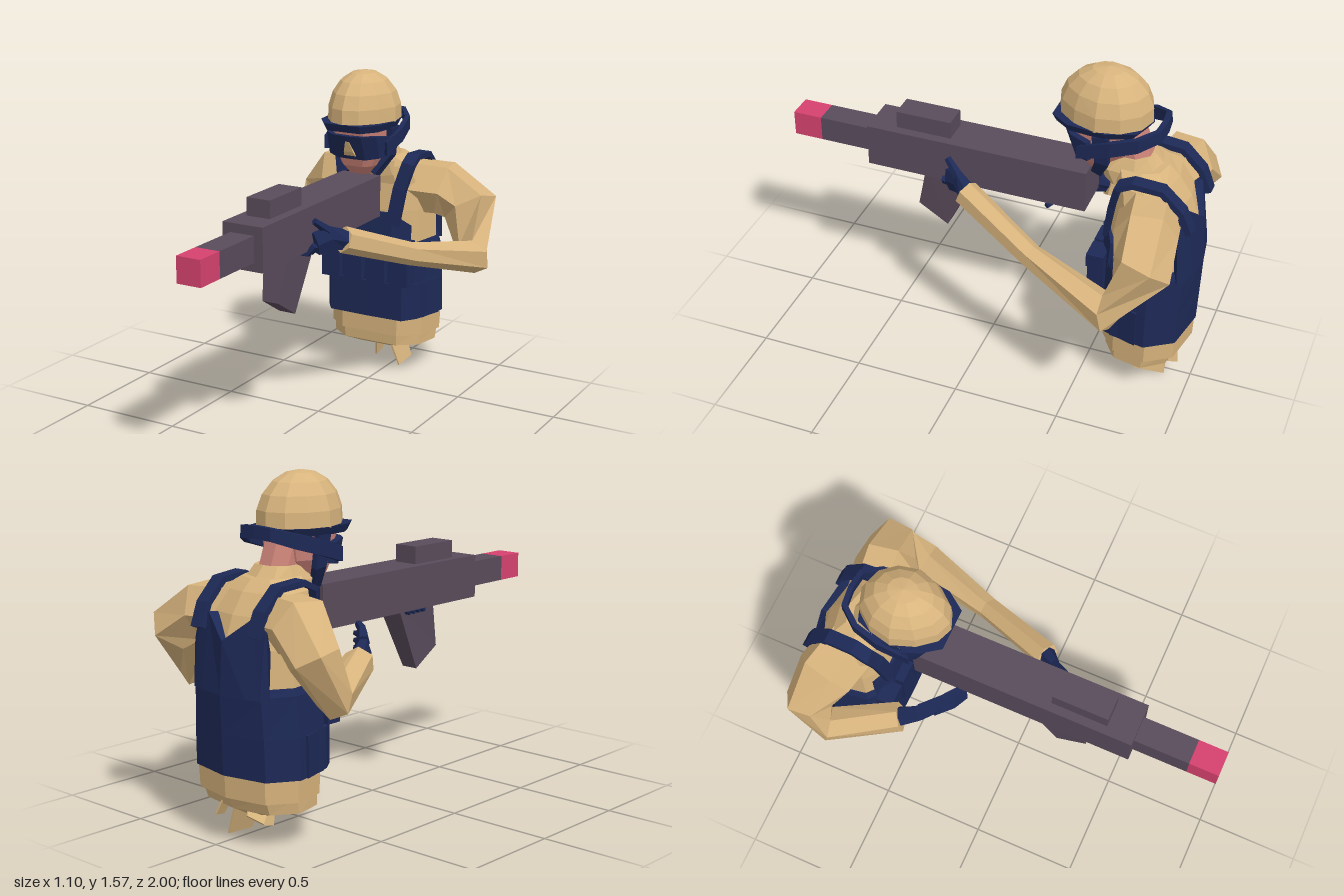
import * as THREE from 'three';

const CX = -0.045; // body centre line
const mat = (name, color) => {
  const m = new THREE.MeshStandardMaterial({ color, flatShading: true });
  m.name = name;
  return m;
};
const V = (a) => new THREE.Vector3(a[0], a[1], a[2]);

// Skin a list of equal rings, cap the ends, and make sure faces point outwards
function loft(rings) {
  const tris = [];
  const n = rings[0].length;
  for (let i = 0; i < rings.length - 1; i++) {
    for (let j = 0; j < n; j++) {
      const k = (j + 1) % n, a = rings[i], b = rings[i + 1];
      tris.push([a[j], a[k], b[k]], [a[j], b[k], b[j]]);
    }
  }
  const first = rings[0], last = rings[rings.length - 1];
  const mid = (r) => r.reduce((s, p) => s.add(p), new THREE.Vector3()).divideScalar(n);
  const c0 = mid(first), c1 = mid(last);
  for (let j = 0; j < n; j++) {
    const k = (j + 1) % n;
    tris.push([c0, first[k], first[j]], [c1, last[j], last[k]]);
  }
  let volume = 0;
  for (const [a, b, c] of tris) {
    const u = a.clone().sub(c0), v = b.clone().sub(c0), w = c.clone().sub(c0);
    volume += u.dot(v.cross(w));
  }
  const flat = tris.flatMap(([a, b, c]) => (volume > 0 ? [a, b, c] : [a, c, b]));
  const g = new THREE.BufferGeometry().setFromPoints(flat);
  g.computeVertexNormals();
  return g;
}

// Stack of nine-sided body sections: [y, half width, front z, back z]
function stack(rows) {
  return loft(rows.map(([y, w, f, b]) => {
    const d = f - b;
    const half = [[0.55, f], [0.9, f - 0.2 * d], [1, b + 0.4 * d], [0.72, b + 0.1 * d]];
    const right = half.map(([x, z]) => new THREE.Vector3(CX + x * w, y, z));
    const left = half.map(([x, z]) => new THREE.Vector3(CX - x * w, y, z)).reverse();
    return [...right, new THREE.Vector3(CX, y, b), ...left];
  }));
}

// Bent limb through points [x, y, z, radius across, radius in the bend plane]
function limb(rows, ref, sides = 6) {
  const p = rows.map(V);
  return loft(rows.map((r, i) => {
    const t = p[Math.min(i + 1, p.length - 1)].clone().sub(p[Math.max(i - 1, 0)]).normalize();
    const up = new THREE.Vector3().crossVectors(t, V(ref)).normalize();
    const side = new THREE.Vector3().crossVectors(up, t).normalize();
    return Array.from({ length: sides }, (_, j) => {
      const a = ((j + 0.5) / sides) * Math.PI * 2;
      return p[i].clone()
        .addScaledVector(side, Math.cos(a) * r[3])
        .addScaledVector(up, Math.sin(a) * (r[4] ?? r[3]));
    });
  }));
}

// Thin upright wall from columns [x, low y, low z, high y, high z], thickened towards z = zc
function wall(cols, zc, thick = 0.03) {
  return loft(cols.map(([x, y0, z0, y1, z1]) => {
    const d = new THREE.Vector3(-x, 0, zc - z0).setLength(thick);
    const a = new THREE.Vector3(CX + x, y0, z0), b = new THREE.Vector3(CX + x, y1, z1);
    return [a, b, b.clone().add(d), a.clone().add(d)];
  }));
}
// Mirror half a list of columns about the centre line (first column on the centre)
const mirrored = (half) => [
  ...half.slice(1).reverse().map(([x, ...r]) => [-x, ...r]), ...half];

export function createModel() {
  const root = new THREE.Group();
  const tan = mat('tan cloth', 0xd8b47d);
  const blue = mat('navy gear', 0x1d2956);
  const skin = mat('skin', 0xca8277);
  const metal = mat('gun grey', 0x594b5b);
  const pink = mat('muzzle pink', 0xd6426f);
  const add = (name, geometry, material) => {
    const m = new THREE.Mesh(geometry, material);
    m.name = name;
    root.add(m);
    return m;
  };
  const box = (name, material, x0, x1, y0, y1, z0, z1) =>
    add(name, new THREE.BoxGeometry(x1 - x0, y1 - y0, z1 - z0), material)
      .position.set((x0 + x1) / 2, (y0 + y1) / 2, (z0 + z1) / 2);

  // Gun
  box('gunBody', metal, -0.13, 0.075, 0.873, 1.077, -0.465, 0.598);
  box('gunBarrel', metal, -0.09, 0.03, 0.915, 1.035, 0.598, 0.86);
  box('gunMuzzle', pink, -0.09, 0.03, 0.915, 1.035, 0.86, 1);
  box('gunSight', metal, -0.09, 0.03, 1.077, 1.16, 0.2, 0.467);
  const gripRing = (w, y0, z0, y1, z1) => [[-w, y0, z0], [w, y0, z0], [w, y1, z1], [-w, y1, z1]]
    .map(([x, y, z]) => new THREE.Vector3(x - 0.03, y, z));
  add('gunGrip', loft([gripRing(0.062, 0.885, 0.325, 0.885, 0.08),
    gripRing(0.042, 0.66, 0.375, 0.57, 0.23)]), metal);

  // Shirt, hem and torn threads below
  add('shirt', stack([[0.6, 0.26, -0.58, -0.97], [0.87, 0.25, -0.59, -0.97],
    [1.0, 0.235, -0.61, -0.92], [1.09, 0.2, -0.6, -0.86], [1.14, 0.12, -0.57, -0.81]]), tan);
  add('shirtHem', stack([[0.22, 0.28, -0.59, -0.98], [0.36, 0.286, -0.59, -0.985]]), tan);
  add('shirtBottom', stack([[0.115, 0.09, -0.72, -0.85], [0.145, 0.16, -0.64, -0.9],
    [0.165, 0.265, -0.605, -0.94], [0.24, 0.27, -0.6, -0.97]]), tan);
  const shreds = [[0, 0.16, -0.8, 0.05, 0.01, -0.81, 0.085], [-0.06, 0.16, -0.74, -0.08, 0.05, -0.77, 0.04],
    [0.02, 0.2, -0.9, 0.06, 0.11, -0.92, 0.03], [-0.1, 0.17, -0.84, -0.14, 0.12, -0.9, 0.05]];
  for (const [x0, y0, z0, x1, y1, z1, w] of shreds)
    add('shred', limb([[x0, y0, z0, w * 1.4, 0.008], [x1, y1, z1, w * 1.2, 0.005]], [0, 0, 1], 4), tan);
  add('collar', stack([[1.05, 0.13, -0.54, -0.81], [1.12, 0.125, -0.5, -0.8],
    [1.185, 0.095, -0.58, -0.74]]), tan);

  // Vest with front bib, V-cut back and shoulder straps
  add('vest', stack([[0.32, 0.295, -0.57, -0.99], [0.5, 0.292, -0.56, -0.995],
    [0.68, 0.277, -0.56, -1.0], [0.71, 0.262, -0.57, -0.995]]), blue);
  add('vestFront', wall(mirrored([[0, 0.66, -0.555, 0.86, -0.575], [0.13, 0.66, -0.555, 0.86, -0.575],
    [0.215, 0.66, -0.61, 0.8, -0.62]]), -0.78, 0.04), blue);
  add('vestBack', wall(mirrored([[0, 0.67, -1.0, 0.9, -0.985], [0.13, 0.67, -0.981, 1.0, -0.935],
    [0.2, 0.67, -0.962, 0.99, -0.92], [0.23, 0.67, -0.937, 0.87, -0.925]]), -0.78, 0.04), blue);
  add('beltPanel', wall(mirrored([[0, 0.32, -0.545, 0.505, -0.545], [0.2, 0.32, -0.55, 0.505, -0.55],
    [0.25, 0.32, -0.62, 0.505, -0.62], [0.297, 0.32, -0.78, 0.505, -0.78]]), -0.79, 0.04), blue);
  for (const x of [-0.235, -0.11, 0.02, 0.145]) {
    box('pouch', blue, x - 0.05, x + 0.05, 0.505, 0.71, -0.6, -0.525);
    box('pouchFlap', blue, x - 0.055, x + 0.055, 0.67, 0.735, -0.6, -0.518);
  }
  for (const s of [-1, 1]) {
    const path = [[0.13, 0.8, -0.58], [0.155, 0.98, -0.605], [0.185, 1.1, -0.635], [0.18, 1.13, -0.7],
      [0.175, 1.12, -0.83], [0.172, 1.03, -0.922], [0.168, 0.93, -0.962]];
    add('shoulderStrap', limb(path.map(([x, y, z]) => [CX + s * x, y, z, 0.047, 0.02]), [1, 0, 0], 4), blue);
  }

  // Sleeves
  add('leftSleeve', limb([[0.06, 0.97, -0.77, 0.14], [0.26, 0.965, -0.8, 0.14], [0.39, 0.88, -0.825, 0.137],
    [0.47, 0.665, -0.7, 0.09], [0.33, 0.765, -0.3, 0.055], [0.17, 0.905, 0.07, 0.062]], [-0.5, -0.85, 0.1]), tan);
  add('rightSleeve', limb([[-0.15, 0.97, -0.77, 0.14], [-0.34, 0.97, -0.81, 0.14], [-0.45, 0.86, -0.85, 0.115],
    [-0.475, 0.68, -0.76, 0.085], [-0.33, 0.765, -0.45, 0.07]], [0.6, -0.8, 0.1]), tan);

  // Gloves: palm, thumb and fingers
  add('leftPalm', limb([[0.18, 0.9, 0.05, 0.05], [0.13, 0.92, 0.12, 0.06, 0.03],
    [0.09, 0.9, 0.18, 0.06, 0.03]], [0, 1, 0]), blue);
  add('leftThumb', limb([[0.13, 0.95, 0.12, 0.025], [0.09, 1.01, 0.19, 0.016]], [1, 0, 0], 5), blue);
  for (let i = 0; i < 4; i++) {
    const z = 0.1 + i * 0.034;
    add('leftFinger', limb([[0.1, 0.9, z, 0.018], [0.07, 0.862, z + 0.01, 0.018],
      [-0.11, 0.862, z + 0.04, 0.014]], [0, 0, 1], 5), blue);
  }
  add('rightPalm', limb([[-0.34, 0.765, -0.47, 0.05], [-0.29, 0.785, -0.38, 0.065, 0.035],
    [-0.21, 0.785, -0.31, 0.07, 0.03]], [0, 1, 0]), blue);
  add('rightThumb', limb([[-0.28, 0.83, -0.37, 0.03], [-0.2, 0.86, -0.29, 0.022],
    [-0.13, 0.87, -0.24, 0.016]], [0, 1, 0], 5), blue);
  for (let i = 0; i < 4; i++) {
    const y = 0.725 + i * 0.033;
    add('rightFinger', limb([[-0.24, y + 0.01, -0.33, 0.02], [-0.17, y + 0.01, -0.26, 0.019],
      [-0.1, y - 0.005, -0.225, 0.014]], [0, 1, 0], 5), blue);
  }

  // Neck and head
  add('neck', limb([[CX, 1.05, -0.69, 0.09], [CX, 1.28, -0.6, 0.095]], [1, 0, 0], 8), skin);
  add('head', stack([[1.07, 0.05, -0.45, -0.54], [1.12, 0.09, -0.41, -0.59],
    [1.2, 0.13, -0.385, -0.66], [1.33, 0.14, -0.36, -0.69]]), skin);

  // Face mask and nose
  add('mask', wall(mirrored([[0, 1.16, -0.385, 1.28, -0.335], [0.075, 1.16, -0.39, 1.28, -0.345],
    [0.135, 1.17, -0.42, 1.28, -0.39], [0.165, 1.18, -0.48, 1.27, -0.47]]), -0.56, 0.03), blue);
  add('nose', limb([[CX, 1.255, -0.355, 0.014, 0.014], [CX, 1.205, -0.375, 0.036, 0.02],
    [CX, 1.182, -0.385, 0.045, 0.014]], [1, 0, 0], 4), tan);

  // Helmet: a faceted dome that narrows towards the front
  const dome = new THREE.SphereGeometry(1, 12, 5, 0, Math.PI * 2, 0, Math.PI * 0.54);
  const pos = dome.attributes.position;
  for (let i = 0; i < pos.count; i++) {
    const x = pos.getX(i), y = pos.getY(i), z = pos.getZ(i);
    const narrow = 1 - 0.2 * Math.max(0, z);
    pos.setXYZ(i, CX + x * 0.176 * narrow, 1.365 + y * 0.21, -0.51 + z * 0.215);
  }
  const helmet = dome.toNonIndexed();
  helmet.computeVertexNormals();
  add('helmet', helmet, tan);
  add('helmetBrim', stack([[1.305, 0.16, -0.31, -0.7], [1.342, 0.178, -0.293, -0.728]]), blue);

  // Head strap rising to the back, and chin straps
  add('headStrap', wall(mirrored([[0, 1.305, -0.795, 1.36, -0.79], [0.09, 1.3, -0.785, 1.355, -0.78],
    [0.155, 1.265, -0.7, 1.33, -0.7], [0.18, 1.23, -0.58, 1.3, -0.58],
    [0.172, 1.185, -0.43, 1.25, -0.43]]), -0.56, 0.025), blue);
  for (const s of [-1, 1])
    add('chinStrap', limb([[CX + s * 0.15, 1.31, -0.53, 0.02, 0.05], [CX + s * 0.135, 1.17, -0.54, 0.02, 0.045],
      [CX + s * 0.07, 1.07, -0.5, 0.02, 0.035]], [1, 0, 0], 4), blue);

  return root;
}
